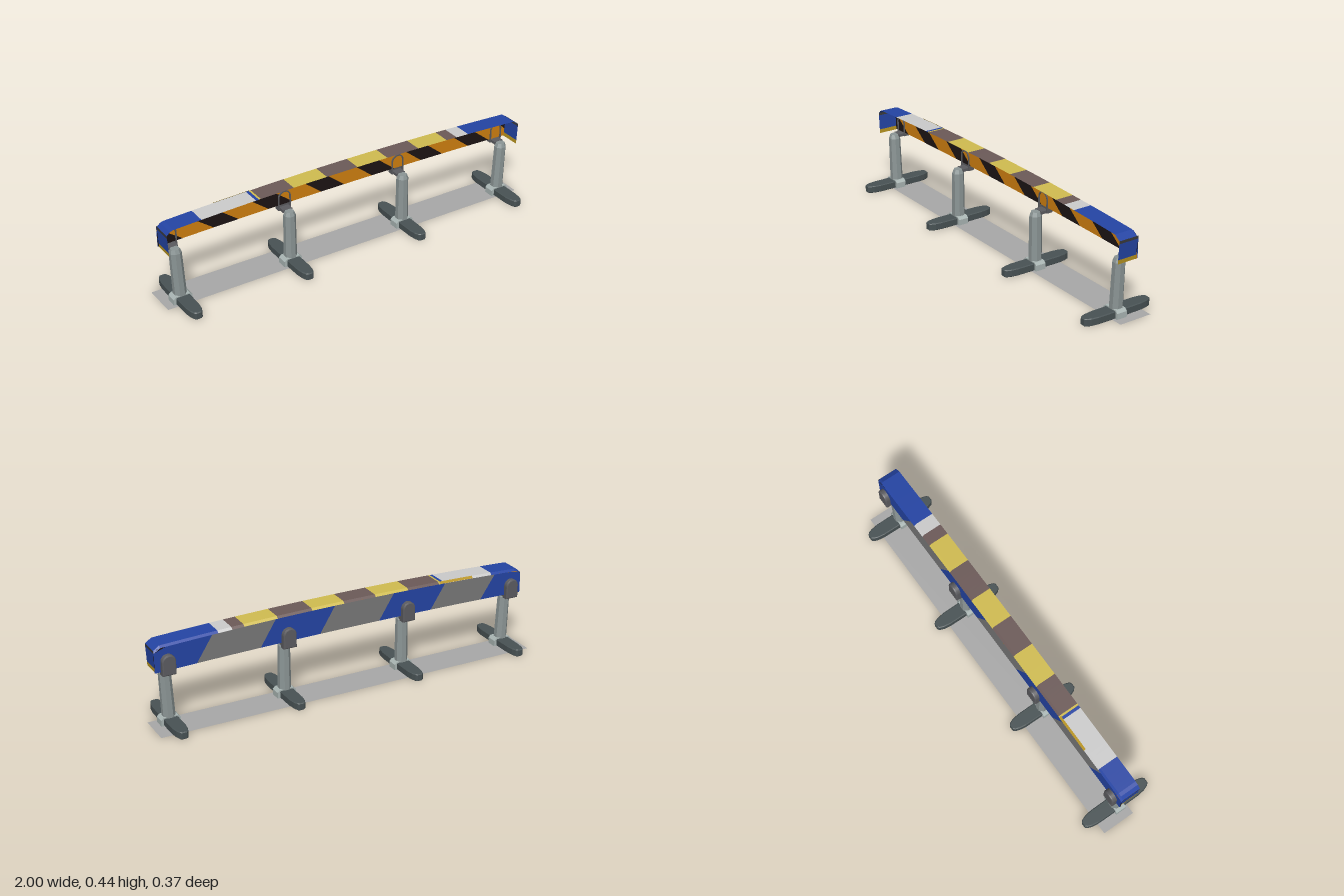
import * as THREE from 'three';

const C = {
  orange: 0xd08010, black: 0x1c1414, blue: 0x2444a4, grey: 0x787878, yellow: 0xd0bc50,
  brown: 0x6c5a58, white: 0xd0d0d0, post: 0x8c9696, foot: 0x485254, collar: 0xaab6b4,
  hook: 0x5c5c60, trim: 0xb89420, mat: 0xa8a8a8, dark: 0x3a3a3c,
};
const HALF = 0.985, BACK = -0.05, FRONT = 0.055;
const { lerp, clamp } = THREE.MathUtils;

function add(parent, name, geometry, color, thin = false) {
  const material = new THREE.MeshStandardMaterial({ color });
  if (thin) material.side = THREE.DoubleSide;
  const mesh = new THREE.Mesh(geometry, material);
  mesh.name = name;
  parent.add(mesh);
  return mesh;
}

// Grid surface from a rule (u, v) -> [x, y, z]
function sheet(rule, nu, nv) {
  const pos = [], index = [];
  for (let j = 0; j <= nv; j++)
    for (let i = 0; i <= nu; i++) pos.push(...rule(i / nu, j / nv));
  for (let j = 0; j < nv; j++)
    for (let i = 0; i < nu; i++) {
      const a = j * (nu + 1) + i, b = a + nu + 1;
      index.push(a, a + 1, b, b, a + 1, b + 1);
    }
  const g = new THREE.BufferGeometry();
  g.setAttribute('position', new THREE.Float32BufferAttribute(pos, 3));
  g.setIndex(index);
  const flat = g.toNonIndexed();
  flat.computeVertexNormals();
  return flat;
}

// The rail arches gently, and its top corners are rounded off at both ends
const arch = (x) => 1 - (x / HALF) ** 2;
const topY = (x) => 0.415 + 0.025 * arch(x) - 0.02 * (Math.max(0, Math.abs(x) - 0.955) / 0.03) ** 2;
const bottomY = (x) => 0.288 + 0.014 * arch(x);

// One slanted stripe of the upright panel
function stripe(parent, name, x0, x1, slant, z, color) {
  const rule = (u, v) => {
    const x = clamp(lerp(x0, x1, u) + slant * (v - 0.5), -HALF, HALF);
    return [x, lerp(topY(x) - 0.01, bottomY(x), v), z];
  };
  add(parent, name, sheet(rule, 6, 8), color, true);
}

function makeRail() {
  const rail = new THREE.Group();
  rail.name = 'rail';

  // Front face: black and orange hazard stripes
  for (let k = -1; k < 7; k++) {
    const x = -0.78 + 0.29 * k;
    stripe(rail, 'blackStripe', x, x + 0.13, 0.16, BACK + 0.004, C.black);
    stripe(rail, 'orangeStripe', x + 0.13, x + 0.29, 0.16, BACK + 0.004, C.orange);
  }

  // Rear face: blue and grey bands
  const rear = [-1.08, -0.79, -0.5, -0.21, 0.11, 0.42, 0.74, 1.08];
  for (let i = 0; i < rear.length - 1; i++)
    stripe(rail, 'rearBand', rear[i], rear[i + 1], 0.08, BACK, i % 2 ? C.grey : C.blue);

  // Top cover with a chamfered rear edge, in colour blocks
  const blocks = [
    [-HALF, C.blue], [-0.81, C.white], [-0.53, C.blue], [-0.515, C.yellow], [-0.505, C.brown],
    [-0.33, C.yellow], [-0.15, C.brown], [0.02, C.yellow], [0.19, C.brown], [0.37, C.yellow],
    [0.54, C.brown], [0.6, C.white], [0.67, C.blue], [HALF],
  ];
  const section = [[FRONT, 0], [BACK + 0.01, 0], [BACK, -0.01]];
  for (let i = 0; i < blocks.length - 1; i++) {
    const rule = (u, v) => {
      const x = lerp(blocks[i][0], blocks[i + 1][0], u);
      const [z, dy] = section[Math.round(v * 2)];
      return [x, topY(x) + dy, z];
    };
    add(rail, 'topCover', sheet(rule, 10, 2), blocks[i][1], true);
  }
  // Yellow trim along part of the rear chamfer
  add(rail, 'chamferTrim', sheet((u, v) => {
    const x = lerp(-0.7, -0.51, u);
    return [x, topY(x) - 0.01 * v + 0.001, lerp(BACK + 0.01, BACK, v) - 0.001];
  }, 4, 1), C.trim, true);

  // End caps: dark seam, blue plate and yellow lower lip
  for (const s of [-1, 1]) {
    const bands = [[0.396, 0.382, C.dark], [0.382, 0.305, C.blue], [0.305, 0.285, C.trim]];
    for (const [y0, y1, color] of bands)
      add(rail, 'endCap', sheet((u, v) => {
        const y = lerp(y0, y1, v);
        return [s * (HALF - 0.006 * (0.396 - y) / 0.11), y, lerp(FRONT, BACK, u)];
      }, 1, 1), color, true);
  }
  return rail;
}

// Round-headed outline used by the brackets
function archShape(r, base, shoulder, Type = THREE.Shape) {
  const s = new Type();
  s.moveTo(-r, base);
  s.lineTo(r, base);
  s.lineTo(r, shoulder);
  s.absarc(0, shoulder, r, 0, Math.PI, false);
  s.lineTo(-r, base);
  return s;
}

function makeSupport(lean) {
  const support = new THREE.Group();
  support.name = 'support';

  // Long foot with tapered, rounded ends
  const half = [[0.035, 0], [0.034, 0.12], [0.029, 0.155], [0.021, 0.177], [0.012, 0.185]];
  const end = [...half, ...half.slice(1).reverse().map(([x, z]) => [-x, z]), [-0.035, 0]];
  const outline = [...end, ...end.slice(1, -1).map(([x, z]) => [-x, -z])];
  const foot = new THREE.ExtrudeGeometry(
    new THREE.Shape(outline.map(([x, z]) => new THREE.Vector2(x, z))),
    { depth: 0.03, bevelEnabled: true, bevelThickness: 0.0035, bevelSize: 0.004, bevelOffset: -0.004, bevelSegments: 1 });
  foot.rotateX(-Math.PI / 2).translate(0, 0.0035, 0);
  add(support, 'foot', foot, C.foot);

  // Collar clamped around the foot
  const collar = new THREE.Shape([[-0.048, 0], [0.048, 0], [0.048, 0.029], [0.036, 0.041], [-0.036, 0.041], [-0.048, 0.029]]
    .map(([x, y]) => new THREE.Vector2(x, y)));
  add(support, 'collar', new THREE.ExtrudeGeometry(collar, { depth: 0.054, bevelEnabled: false })
    .translate(0, 0.001, -0.025), C.collar);

  // Eight-sided post with a tapered head, leaning slightly
  const profile = [[0, 0.03], [0.0325, 0.03], [0.03, 0.265], [0.022, 0.285], [0, 0.285]];
  const post = new THREE.LatheGeometry(profile.map(([r, y]) => new THREE.Vector2(r, y)), 8, Math.PI / 8);
  const p = post.attributes.position;
  for (let i = 0; i < p.count; i++) p.setX(i, p.getX(i) + lean * p.getY(i) / 0.285);
  const faceted = post.toNonIndexed();
  faceted.computeVertexNormals();
  add(support, 'post', faceted, C.post);

  // Bracket: arched rim gripping the panel, closed by a bevelled rear plate
  const rim = archShape(0.034, 0.273, 0.339);
  rim.holes.push(archShape(0.028, 0.275, 0.339, THREE.Path));
  add(support, 'bracketRim', new THREE.ExtrudeGeometry(rim, { depth: 0.02, bevelEnabled: false, curveSegments: 10 })
    .translate(lean, 0, -0.06), C.hook);
  add(support, 'bracketPlate', new THREE.ExtrudeGeometry(archShape(0.034, 0.273, 0.339),
    { depth: 0.01, bevelEnabled: true, bevelThickness: 0.006, bevelSize: 0.006, bevelOffset: -0.006, bevelSegments: 2, curveSegments: 10 })
    .translate(lean, 0, -0.069), C.hook);
  add(support, 'bracketFoot', new THREE.BoxGeometry(0.05, 0.014, 0.05).translate(lean, 0.279, -0.04), C.hook);
  return support;
}

export function createModel() {
  const model = new THREE.Group();
  model.name = 'barrier';
  model.add(makeRail());

  // Four supports
  for (const [x, lean] of [[-0.913, -0.012], [-0.325, 0], [0.318, 0], [0.91, 0.012]]) {
    const support = makeSupport(lean);
    support.position.x = x;
    model.add(support);
  }

  // Thin ground strip
  add(model, 'groundStrip', new THREE.PlaneGeometry(2, 0.17).rotateX(-Math.PI / 2)
    .translate(0, 0.001, -0.04), C.mat, true);
  return model;
}
